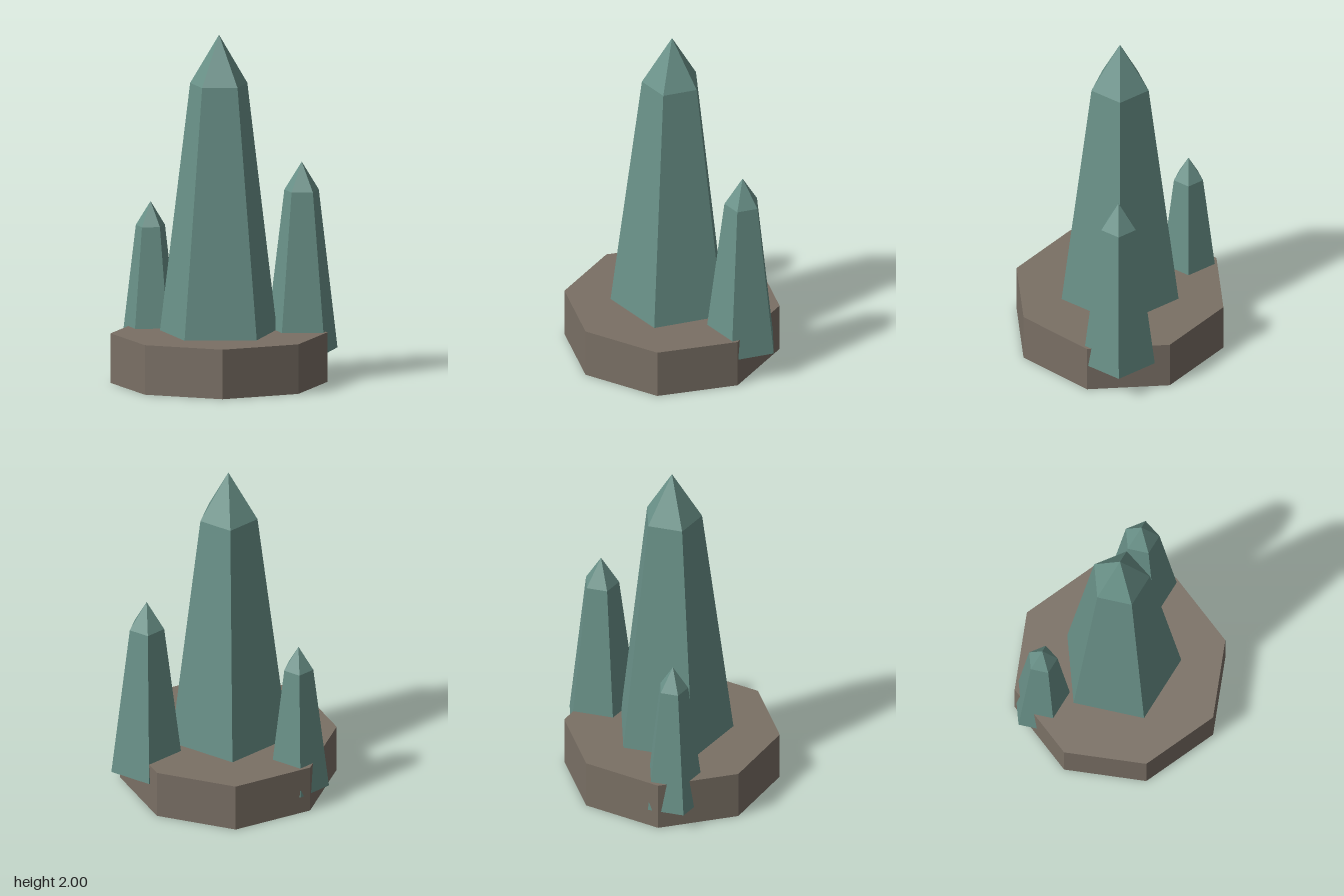
import * as THREE from 'three';

export function createModel() {
  const group = new THREE.Group();
  group.name = 'crystalCluster';

  const stone = new THREE.MeshStandardMaterial({ color: 0x7a7065, flatShading: true });
  stone.name = 'brown stone';
  const crystal = new THREE.MeshStandardMaterial({ color: 0x6a9289, flatShading: true });
  crystal.name = 'teal crystal';

  // Octagonal stone base
  const base = new THREE.Mesh(new THREE.CylinderGeometry(0.617, 0.617, 0.285, 8), stone);
  base.name = 'stoneBase';
  base.position.set(-0.034, 0.1425, 0);
  group.add(base);

  // Five-sided tapered crystal with a pointed cap, one edge facing the back
  function addCrystal(name, x, z, bottomY, bottomR, shoulderY, shoulderR, tipY) {
    const profile = [
      new THREE.Vector2(0, bottomY),
      new THREE.Vector2(bottomR, bottomY),
      new THREE.Vector2(shoulderR, shoulderY),
      new THREE.Vector2(0, tipY),
    ];
    const mesh = new THREE.Mesh(new THREE.LatheGeometry(profile, 5, Math.PI), crystal);
    mesh.name = name;
    mesh.position.set(x, 0, z);
    group.add(mesh);
  }

  addCrystal('mainCrystal', -0.034, 0, 0.2, 0.36, 1.715, 0.171, 2);
  addCrystal('leftCrystal', 0.441, -0.143, 0.165, 0.216, 1.08, 0.103, 1.245);
  addCrystal('rightCrystal', -0.414, -0.287, 0.105, 0.179, 0.86, 0.087, 1);

  return group;
}
